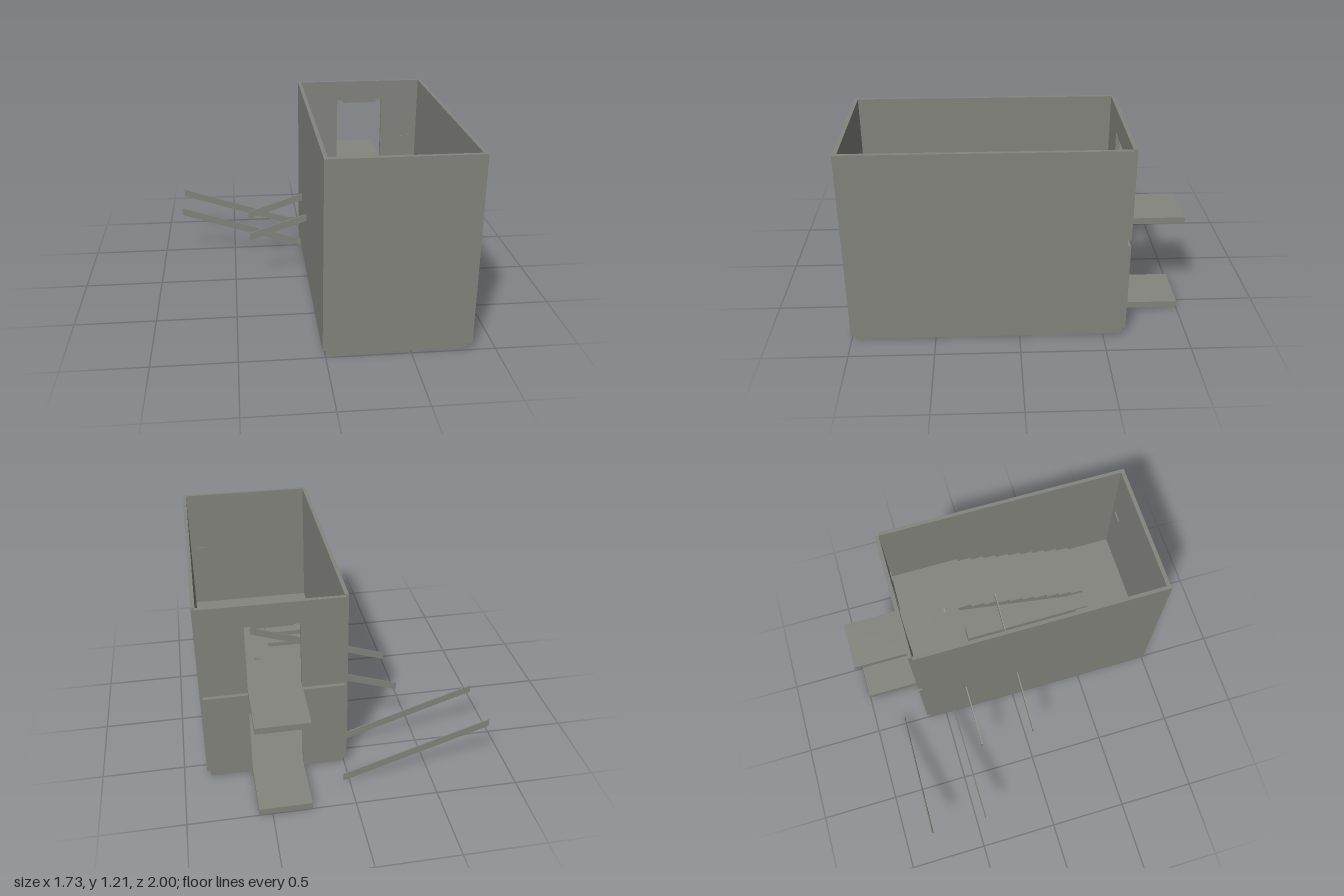
import * as THREE from 'three';

export function createModel() {
  const model = new THREE.Group();
  model.name = 'stairwell';
  const concrete = new THREE.MeshStandardMaterial({ color: 0x84857e });
  concrete.name = 'concrete grey';

  const add = (name, geometry) => {
    const mesh = new THREE.Mesh(geometry, concrete);
    mesh.name = name;
    model.add(mesh);
    return mesh;
  };
  // Box given by its limits on each axis
  const box = (name, x0, x1, y0, y1, z0, z1) =>
    add(name, new THREE.BoxGeometry(x1 - x0, y1 - y0, z1 - z0)
      .translate((x0 + x1) / 2, (y0 + y1) / 2, (z0 + z1) / 2));
  const outline = (points) => new THREE.Shape(points.map(([x, y]) => new THREE.Vector2(x, y)));

  const IN0 = 0.005, IN1 = 0.837;      // inside faces of the side walls
  const BACK = -0.61, FRONT = 0.975;   // inside faces of the end walls
  const DOOR0 = 0.262, DOOR1 = 0.58;
  const GROUND = 0.043, MID = 0.344, UPPER = 0.645, TOP = 1.208;
  const SLAB = 0.04;
  const STAIR0 = -0.235, STAIR1 = 0.67;

  // Outer walls
  box('rightWall', -0.018, IN0, GROUND, TOP, BACK, FRONT);
  box('leftWall', IN1, 0.86, GROUND, TOP, BACK, FRONT);
  box('frontWall', -0.018, 0.86, GROUND, TOP, FRONT, 1);

  // Floors and landings
  box('groundFloorBack', IN0, IN1, 0, GROUND, BACK, STAIR0);
  box('groundFloorFront', IN0, IN1, 0, GROUND, STAIR0, FRONT);
  box('middleLanding', IN0, IN1, MID - SLAB, MID, STAIR1, FRONT);
  box('upperLanding', IN0, IN1, UPPER - SLAB, UPPER, BACK, STAIR0);

  // Back wall with a doorway, door strip and projecting slab on each storey
  for (const [storey, y0, y1] of [['lower', GROUND, UPPER - SLAB], ['upper', UPPER, TOP]]) {
    const head = y1 - 0.137;
    box(storey + 'BackWallRight', 0, DOOR0, y0, y1, -0.635, BACK);
    box(storey + 'BackWallLeft', DOOR1, 0.84, y0, y1, -0.635, BACK);
    box(storey + 'Lintel', DOOR0, DOOR1, head, y1, -0.635, BACK);
    box(storey + 'DoorStrip', 0.3, 0.54, head - 0.02, head, -0.626, -0.616);
    box(storey + 'Balcony', DOOR0, DOOR1, y0 - SLAB, y0, -1, BACK);
  }

  // Stepped flight with sloping underside; u runs uphill, extruded to the given width
  const STEPS = 10, run = (STAIR1 - STAIR0) / STEPS, rise = (MID - GROUND) / STEPS;
  const flightGeometry = (width) => {
    const points = [[0, 0]];
    for (let i = 0; i < STEPS; i++) {
      points.push([i * run, (i + 1) * rise], [(i + 1) * run, (i + 1) * rise]);
    }
    points.push([STEPS * run, STEPS * rise - 0.04], [0.12, 0]);
    return new THREE.ExtrudeGeometry(outline(points), { depth: width, bevelEnabled: false });
  };
  const lower = add('lowerFlight', flightGeometry(0.355));
  lower.rotation.y = -Math.PI / 2;
  lower.position.set(0.36, GROUND, STAIR0);
  const upper = add('upperFlight', flightGeometry(IN1 - 0.48));
  upper.rotation.y = Math.PI / 2;
  upper.position.set(0.48, MID, STAIR1);

  // Low spine between the flights
  box('stairSpine', 0.367, 0.477, GROUND, MID, -0.21, STAIR1);

  // Sloping stringers that pass through the right wall
  const stringer = (name, xLow, yLow, xHigh, yHigh, z) => {
    const h = 0.025;
    const shape = outline([[xLow, yLow - h], [xHigh, yHigh - h], [xHigh, yHigh + h], [xLow, yLow + h]]);
    add(name, new THREE.ExtrudeGeometry(shape, { depth: 0.007, bevelEnabled: false })
      .translate(0, 0, z - 0.0035));
  };
  for (const z of [-0.797, -0.44]) stringer('lowerStringer', 0.036, 0.03, -0.865, 0.33, z);
  for (const z of [-0.328, 0.03]) stringer('upperStringer', -0.398, 0.33, 0.505, 0.631, z);

  // Small fittings on the inside of the end walls
  box('frontWallFitting', 0.72, 0.795, 0.78, 0.8, 0.966, FRONT);
  box('backWallFitting', 0.72, 0.795, 0.78, 0.8, BACK, BACK + 0.009);

  return model;
}
